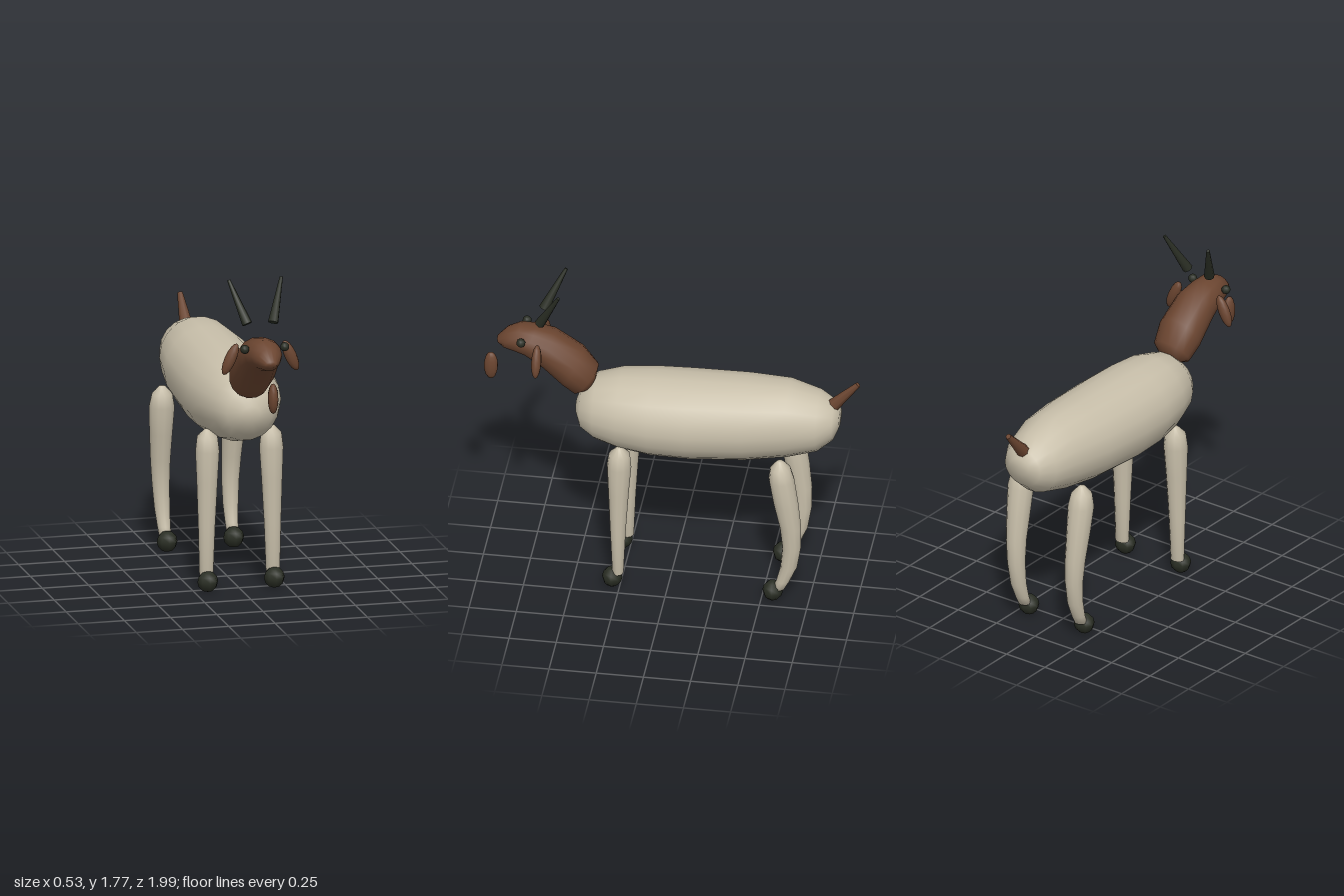
import * as THREE from 'three';

const wool = new THREE.MeshStandardMaterial({ color: 0xc8bfaa });
wool.name = 'cream wool';
const brown = new THREE.MeshStandardMaterial({ color: 0x6b4530 });
brown.name = 'brown hide';
const dark = new THREE.MeshStandardMaterial({ color: 0x2a2e24 });
dark.name = 'dark horn';

// Skin through elliptical rings; each section is [z0, y0, z1, y1, halfWidth, centreX]
// where (z0, y0) and (z1, y1) are opposite ends of the ring in the side plane.
function loft(sections, sides) {
  const pos = [], index = [], n = sections.length;
  for (const [z0, y0, z1, y1, w, cx = 0] of sections) {
    for (let j = 0; j < sides; j++) {
      const a = (j / sides) * Math.PI * 2, t = (1 + Math.sin(a)) / 2;
      pos.push(cx + Math.cos(a) * w, y0 + (y1 - y0) * t, z0 + (z1 - z0) * t);
    }
  }
  for (const [z0, y0, z1, y1, , cx = 0] of [sections[0], sections[n - 1]]) {
    pos.push(cx, (y0 + y1) / 2, (z0 + z1) / 2);
  }
  const start = n * sides, last = (n - 1) * sides;
  for (let j = 0; j < sides; j++) {
    const k = (j + 1) % sides;
    for (let i = 0; i < n - 1; i++) {
      const a = i * sides + j, b = i * sides + k;
      index.push(a, b, a + sides, b, b + sides, a + sides);
    }
    index.push(start, k, j, start + 1, last + j, last + k);
  }
  const g = new THREE.BufferGeometry();
  g.setAttribute('position', new THREE.Float32BufferAttribute(pos, 3));
  g.setIndex(index);
  g.computeVertexNormals();
  return g;
}

// Upright leg from horizontal rings [y, zFront, zBack, halfWidth, centreX]
const legGeometry = (rings, side) =>
  loft(rings.map(([y, zf, zb, w, x]) => [zf, y, zb, y, w, x * side]), 12);

export function createModel() {
  const model = new THREE.Group();
  model.name = 'goat';

  const add = (name, geometry, material, x = 0, y = 0, z = 0) => {
    const mesh = new THREE.Mesh(geometry, material);
    mesh.name = name;
    mesh.position.set(x, y, z);
    model.add(mesh);
    return mesh;
  };

  const ellipsoid = (name, material, centre, radii, w = 10, h = 8) => {
    const mesh = add(name, new THREE.SphereGeometry(1, w, h), material, ...centre);
    mesh.scale.set(...radii);
    return mesh;
  };

  // Tapered rod between two points
  const taper = (name, material, from, to, r0, r1, sides) => {
    const a = new THREE.Vector3(...from), b = new THREE.Vector3(...to);
    const d = b.clone().sub(a);
    const mesh = add(name, new THREE.CylinderGeometry(r1, r0, d.length(), sides), material);
    mesh.position.copy(a).add(b).multiplyScalar(0.5);
    mesh.quaternion.setFromUnitVectors(new THREE.Vector3(0, 1, 0), d.normalize());
  };

  // Body, rump to chest
  add('body', loft([
    [-0.89, 1.02, -0.89, 1.11, 0.06],
    [-0.86, 0.945, -0.86, 1.155, 0.115],
    [-0.78, 0.875, -0.78, 1.205, 0.165],
    [-0.62, 0.83, -0.62, 1.252, 0.207],
    [-0.40, 0.797, -0.40, 1.256, 0.238],
    [-0.10, 0.776, -0.10, 1.25, 0.25],
    [0.10, 0.78, 0.10, 1.243, 0.247],
    [0.27, 0.803, 0.27, 1.23, 0.222],
    [0.40, 0.84, 0.40, 1.195, 0.178],
    [0.475, 0.89, 0.475, 1.135, 0.125],
    [0.505, 0.97, 0.505, 1.05, 0.05],
  ], 18), wool);

  // Neck and head, running up and forward to the muzzle
  add('neckAndHead', loft([
    [0.47, 1.115, 0.405, 1.18, 0.06],
    [0.52, 1.10, 0.39, 1.26, 0.105],
    [0.58, 1.15, 0.47, 1.36, 0.124],
    [0.70, 1.265, 0.62, 1.458, 0.115],
    [0.78, 1.315, 0.72, 1.48, 0.101],
    [0.84, 1.332, 0.80, 1.487, 0.085],
    [0.885, 1.34, 0.87, 1.458, 0.062],
    [0.915, 1.362, 0.925, 1.40, 0.03],
  ], 14), brown);

  ellipsoid('beard', brown, [0, 1.21, 0.96], [0.028, 0.082, 0.038]);
  taper('tail', brown, [0, 1.14, -0.85], [0, 1.285, -0.985], 0.037, 0.015, 7);

  const frontLeg = [
    [0.09, 0.29, 0.23, 0.038, 0.18], [0.35, 0.302, 0.219, 0.046, 0.178],
    [0.6, 0.313, 0.203, 0.057, 0.175], [0.76, 0.32, 0.19, 0.065, 0.173],
    [0.835, 0.309, 0.197, 0.056, 0.173], [0.876, 0.268, 0.236, 0.016, 0.173],
  ];
  const hindLeg = [
    [0.08, -0.56, -0.625, 0.033, 0.182], [0.13, -0.58, -0.652, 0.036, 0.183],
    [0.22, -0.602, -0.69, 0.042, 0.185], [0.35, -0.612, -0.711, 0.048, 0.188],
    [0.48, -0.598, -0.713, 0.054, 0.192], [0.63, -0.565, -0.699, 0.062, 0.195],
    [0.78, -0.541, -0.678, 0.07, 0.196], [0.85, -0.549, -0.657, 0.056, 0.196],
    [0.893, -0.585, -0.618, 0.016, 0.196],
  ];

  for (const [side, label] of [[1, 'left'], [-1, 'right']]) {
    add(label + 'FrontLeg', legGeometry(frontLeg, side), wool);
    add(label + 'HindLeg', legGeometry(hindLeg, side), wool);
    ellipsoid(label + 'FrontHoof', dark, [0.18 * side, 0.06, 0.29], [0.056, 0.056, 0.054], 8, 6);
    ellipsoid(label + 'HindHoof', dark, [0.18 * side, 0.06, -0.56], [0.056, 0.056, 0.054], 8, 6);
    ellipsoid(label + 'Eye', dark, [0.108 * side, 1.44, 0.785], [0.024, 0.024, 0.024]);
    // Drooping ear, tip swung outward
    const ear = ellipsoid(label + 'Ear', brown, [0.163 * side, 1.367, 0.695], [0.032, 0.09, 0.027]);
    ear.rotation.z = 0.42 * side;
    taper(label + 'Horn', dark, [0.07 * side, 1.55, 0.69], [0.142 * side, 1.765, 0.582], 0.028, 0.009, 8);
  }

  return model;
}
